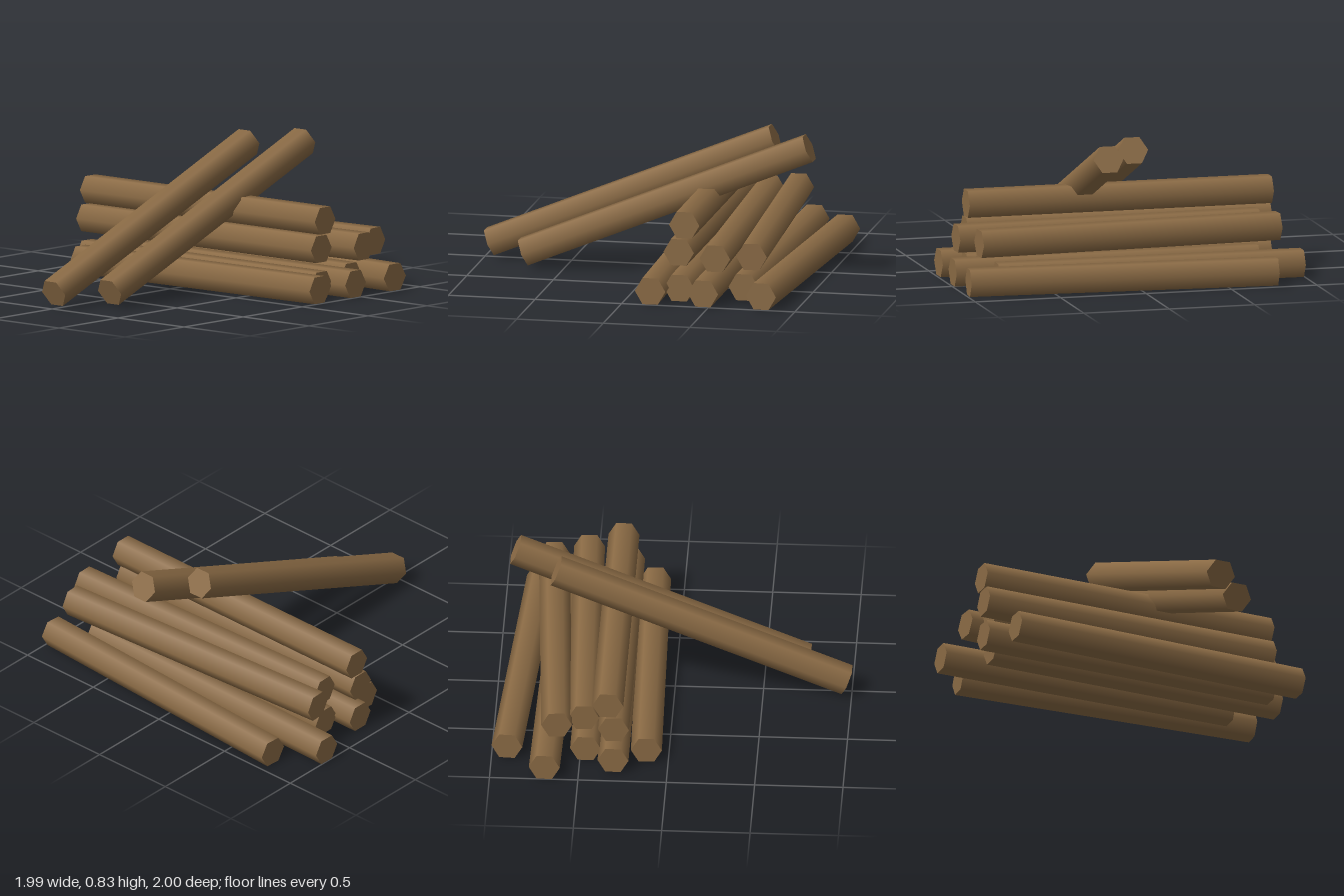
import * as THREE from 'three';

const RADIUS = 0.0877;

export function createModel() {
  const model = new THREE.Group();
  model.name = 'logPile';

  const wood = new THREE.MeshStandardMaterial({ color: 0x8b6b45 });
  wood.name = 'brownWood';

  // Six-sided log between two end centres, with its wide corners level
  function addLog(name, start, end) {
    const a = new THREE.Vector3(...start);
    const b = new THREE.Vector3(...end);
    const along = b.clone().sub(a);
    const length = along.length();
    along.normalize();
    const wide = new THREE.Vector3().crossVectors(along, new THREE.Vector3(0, 1, 0)).normalize();
    const side = new THREE.Vector3().crossVectors(along, wide);

    const log = new THREE.Mesh(new THREE.CylinderGeometry(RADIUS, RADIUS, length, 6), wood);
    log.name = name;
    log.quaternion.setFromRotationMatrix(new THREE.Matrix4().makeBasis(side, along, wide));
    log.position.copy(a).add(b).multiplyScalar(0.5);
    model.add(log);
  }

  // Stacked layers: height, then [x start, z start, x end, z end] of each log
  const layers = [
    { name: 'bottomLog', y: 0.077, logs: [
      [-0.79, -0.123, 0.988, -0.162],
      [-0.905, -0.306, 0.875, -0.306],
      [-0.79, -0.467, 0.988, -0.467],
      [-0.997, -0.69, 0.783, -0.659],
      [-0.788, -0.912, 0.986, -0.802],
    ] },
    { name: 'middleLog', y: 0.284, logs: [
      [-0.905, -0.303, 0.875, -0.303],
      [-0.79, -0.477, 0.988, -0.536],
      [-0.872, -0.626, 0.904, -0.73],
    ] },
    { name: 'topLog', y: 0.443, logs: [
      [-0.905, -0.335, 0.875, -0.335],
    ] },
  ];
  for (const { name, y, logs } of layers) {
    logs.forEach(([x0, z0, x1, z1], i) => addLog(name + (i + 1), [x0, y, z0], [x1, y, z1]));
  }

  // Two logs leaning on the pile, low end in front
  [[-0.013, 0.972], [0.196, 0.732]].forEach(([x, z], i) => {
    addLog('leaningLog' + (i + 1), [x, 0.085, z], [x, 0.764, z - 1.645]);
  });

  return model;
}
